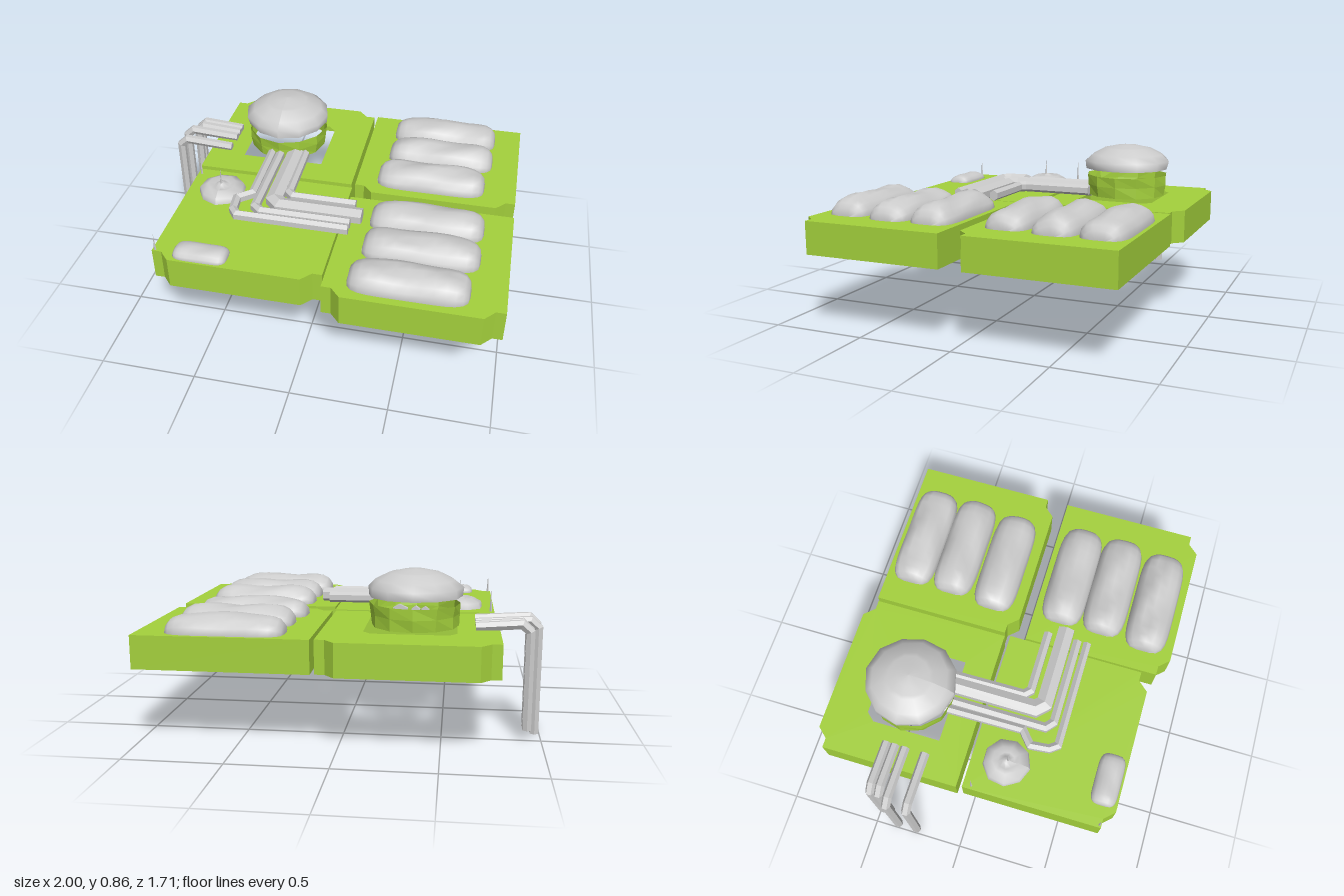
import * as THREE from 'three';
import { ParametricGeometry } from 'three/addons/geometries/ParametricGeometry.js';

const TOP = 0.56, BASE = 0.39;
const material = (color, flatShading = false) =>
  new THREE.MeshStandardMaterial({ color, flatShading, side: THREE.DoubleSide });
const green = material(0xa4d13c, true), grey = material(0xcccccc), greyFlat = material(0xcccccc, true);

function add(parent, name, geometry, mat) {
  const mesh = new THREE.Mesh(geometry, mat);
  mesh.name = name;
  parent.add(mesh);
  return mesh;
}

// Open-bottomed tray: thin top plate plus a skirt; two corners notched on the side s (+1 front, -1 back)
function tray(name, x0, x1, zPlain, zNotch, hole) {
  const s = Math.sign(zNotch - zPlain), zi = zNotch - s * 0.055;
  const outline = [[x0, zPlain], [x0, zi], [x0 + 0.05, zi], [x0 + 0.1, zNotch], [x1 - 0.1, zNotch],
    [x1 - 0.05, zi], [x1, zi], [x1, zPlain]];
  const g = new THREE.Group();
  g.name = name;
  const shape = new THREE.Shape(outline.map(([x, z]) => new THREE.Vector2(x, -z)));
  if (hole) shape.holes.push(new THREE.Path(hole.map(([x, z]) => new THREE.Vector2(x, -z))));
  const plate = new THREE.ShapeGeometry(shape).rotateX(-Math.PI / 2).translate(0, TOP, 0);
  add(g, 'topPlate', plate, green);
  outline.forEach(([ax, az], i) => {
    const [bx, bz] = outline[(i + 1) % outline.length];
    // Wind each wall so that it faces away from the tray
    const a = s > 0 ? [ax, az] : [bx, bz], b = s > 0 ? [bx, bz] : [ax, az];
    const wall = new THREE.PlaneGeometry(Math.hypot(bx - ax, bz - az), TOP - BASE);
    wall.rotateY(-Math.atan2(b[1] - a[1], b[0] - a[0]));
    wall.translate((ax + bx) / 2, (TOP + BASE) / 2, (az + bz) / 2);
    add(g, 'skirt', wall, green);
  });
  return g;
}

// Lumpy half-capsule lying along x
function cushion(cx, cz, hx, hz, h, bump, seed) {
  return new ParametricGeometry((s, t, p) => {
    const u = Math.sin((s - 0.5) * Math.PI), a = t * Math.PI;
    const w = Math.pow(Math.max(0, 1 - Math.abs(u) ** 6), 0.4);
    const dent = 1 - bump * (0.5 + 0.5 * Math.sin(u * 5 + seed * 2 + 2 * Math.cos(a * 2 + seed)));
    p.set(cx + u * hx, TOP + Math.sin(a) * h * w * dent, cz - Math.cos(a) * hz * (0.3 + 0.7 * w));
  }, 14, 8);
}

// Mitred hexagonal pipe along a planar path; up is the normal of that plane
function pipe(points, r, up, ry = r) {
  const P = points.map(p => new THREE.Vector3(...p)), n = 6, pos = [], index = [];
  P.forEach((p, i) => {
    const d0 = P[Math.max(i, 1)].clone().sub(P[Math.max(i, 1) - 1]).normalize();
    const j = Math.min(i, P.length - 2);
    const d1 = P[j + 1].clone().sub(P[j]).normalize();
    const side = d0.clone().add(d1).normalize().cross(up).normalize();
    const stretch = 1 / Math.sqrt((1 + d0.dot(d1)) / 2);
    for (let k = 0; k < n; k++) {
      const a = (k + 0.5) / n * Math.PI * 2;
      const v = p.clone().addScaledVector(side, Math.cos(a) * r * stretch).addScaledVector(up, Math.sin(a) * ry);
      pos.push(v.x, v.y, v.z);
      const q = i * n + k, w = i * n + (k + 1) % n;
      if (i < P.length - 1) index.push(q, q + n, w, w, q + n, w + n);
    }
  });
  const last = (P.length - 1) * n;
  for (let k = 1; k < n - 1; k++) index.push(0, k, k + 1, last, last + k + 1, last + k);
  const g = new THREE.BufferGeometry();
  g.setAttribute('position', new THREE.Float32BufferAttribute(pos, 3));
  g.setIndex(index);
  g.computeVertexNormals();
  return g;
}

// Uneven lathe: heights and radii ripple around the axis
function lumpyLathe(profile, sides, ripple) {
  const g = new THREE.LatheGeometry(profile.map(p => new THREE.Vector2(...p)), sides);
  const p = g.attributes.position;
  for (let i = 0; i < p.count; i++) {
    const x = p.getX(i), z = p.getZ(i), a = Math.atan2(z, x);
    const f = 1 + ripple * Math.sin(Math.round(a * 100) / 100 * 3 + p.getY(i) * 40);
    p.setX(i, x * f);
    p.setZ(i, z * f);
  }
  g.computeVertexNormals();
  return g;
}

export function createModel() {
  const model = new THREE.Group();
  model.name = 'rooftopUnits';

  // Four trays, one with an opening below the vent
  const hole = [[-0.57, -0.22], [-0.11, -0.22], [-0.11, -0.59], [-0.15, -0.635], [-0.53, -0.635], [-0.57, -0.59]];
  model.add(
    tray('ventTray', -0.78, 0.10, -0.06, -0.855, hole),
    tray('pipeTray', -0.77, 0.11, -0.03, 0.77),
    tray('backCushionTray', 0.12, 1, -0.81, -0.01),
    tray('frontCushionTray', 0.12, 1, 0.055, 0.85));

  // Three cushions on each left tray
  [-0.435, 0.44].forEach((z, t) => {
    for (let i = 0; i < 3; i++) {
      const cx = i === 2 ? 0.53 : 0.557;
      add(model, 'cushion', cushion(cx, z + (i - 1) * 0.235 + (i === 2 ? 0.015 : 0), 0.297, 0.12, 0.1, 0.14, i + t * 3), grey);
    }
  });

  // Vent: open collar and domed cap floating above it
  const vent = new THREE.Group();
  vent.name = 'vent';
  vent.position.set(-0.355, 0, -0.43);
  add(vent, 'ventCollar', lumpyLathe([[0.22, 0.57], [0.225, 0.63], [0.23, 0.685]], 12, 0.015), green);
  add(vent, 'ventCap', lumpyLathe([[0.235, 0.72], [0.24, 0.765], [0.2, 0.8], [0.13, 0.835], [0.11, 0.838],
    [0.06, 0.85], [0, 0.855]], 12, 0.02), grey);
  model.add(vent);

  // Pipes running out from the vent and turning to the left
  const Y = new THREE.Vector3(0, 1, 0), Z = new THREE.Vector3(0, 0, 1);
  const runs = [
    [0.024, [[-0.4, -0.25], [-0.395, 0.19], [-0.465, 0.25], [-0.455, 0.35], [-0.425, 0.39], [0.17, 0.39]]],
    [0.026, [[-0.35, -0.25], [-0.35, 0.3], [-0.31, 0.335], [0.17, 0.335]]],
    [0.05, [[-0.265, -0.25], [-0.265, 0.22], [-0.225, 0.26], [0.22, 0.26]]],
    [0.026, [[-0.21, -0.25], [-0.205, 0.14], [-0.175, 0.17], [0.17, 0.17]]]];
  for (const [r, path] of runs)
    add(model, 'roofPipe', pipe(path.map(([x, z]) => [x, 0.597, z]), r, Y, r > 0.04 ? 0.04 : 0.03), greyFlat);

  // Pipes that reach over the right edge and drop down
  for (const [x, z, bottom] of [[-0.928, -0.48, 0.05], [-0.928, -0.433, 0.05], [-0.975, -0.377, 0], [-0.975, -0.267, 0]])
    add(model, 'dropPipe', pipe([[-0.66, 0.575, z], [x + 0.04, 0.592, z], [x, 0.555, z], [x, bottom, z]], 0.025, Z), greyFlat);

  // Small fittings on the pipe tray
  const knob = add(model, 'roundFitting', lumpyLathe([[0.128, 0.56], [0.12, 0.59], [0.075, 0.615], [0.045, 0.6],
    [0.02, 0.62], [0, 0.625]], 9, 0.02), grey);
  knob.position.set(-0.58, 0, 0.155);
  add(model, 'flatFitting', cushion(-0.517, 0.69, 0.14, 0.07, 0.045, 0.08, 1), grey);
  for (const [x, z, y0, y1] of [[-0.58, 0.165, 0.6, 0.72], [-0.75, 0.015, TOP, 0.69], [-0.755, 0.705, TOP, 0.66]]) {
    const spike = add(model, 'spike', new THREE.ConeGeometry(0.007, y1 - y0, 4), greyFlat);
    spike.position.set(x, (y0 + y1) / 2, z);
  }
  return model;
}
